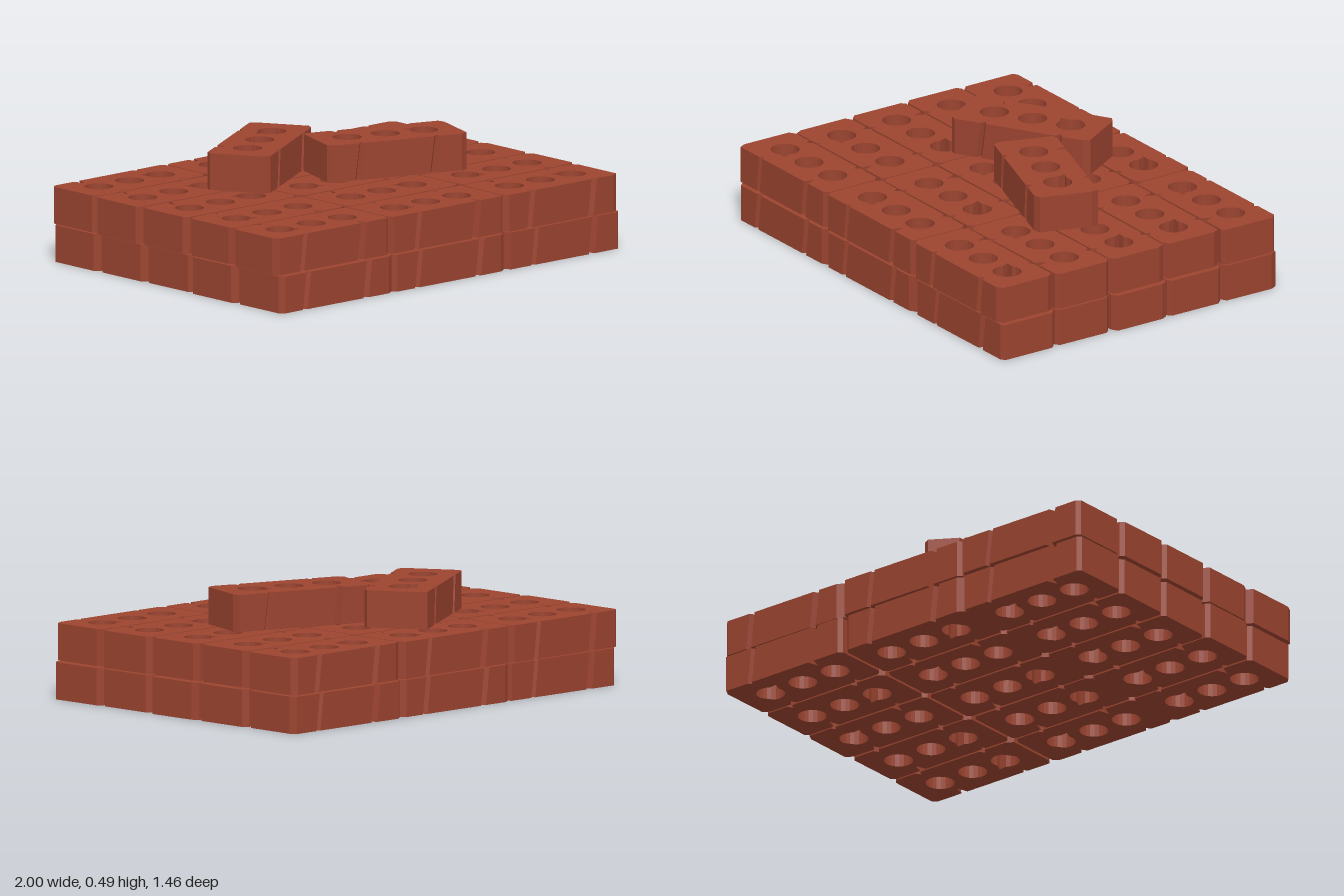
import * as THREE from 'three';

const L = 0.655, W = 0.282, H = 0.162;

// Chipped brick: outline with corner chamfers and V notches, three through holes
function brickGeometry() {
  const a = L / 2, b = W / 2;
  const notch = (x, side, w, d, dir) => [
    [x - dir * w, side * b], [x, side * (b - d)], [x + dir * w, side * b],
  ];
  const outline = [
    [-a, -b + 0.022], [-a + 0.022, -b],
    ...notch(-0.17, -1, 0.014, 0.022, 1),
    ...notch(0.185, -1, 0.016, 0.025, 1),
    [a - 0.03, -b], [a, -b + 0.018],
    [a, b - 0.03], [a - 0.016, b],
    ...notch(0.16, 1, 0.012, 0.018, -1),
    ...notch(-0.18, 1, 0.017, 0.05, -1),
    [-a + 0.018, b], [-a, b - 0.015],
  ];
  const shape = new THREE.Shape(outline.map(([x, y]) => new THREE.Vector2(x, y)));
  [-0.18, 0, 0.18].forEach((cx, k) => {
    const pts = [];
    for (let i = 0; i < 20; i++) {
      const t = (i / 20) * Math.PI * 2;
      // the last hole has a pointed chip in its wall
      const r = k === 2 && i === 8 ? 0.092 : 0.063;
      pts.push(new THREE.Vector2(cx + r * Math.cos(t), r * Math.sin(t)));
    }
    shape.holes.push(new THREE.Path(pts));
  });
  const geo = new THREE.ExtrudeGeometry(shape, { depth: H, bevelEnabled: false });
  geo.rotateX(-Math.PI / 2);

  // slant the notches: shift their lower ends along the brick
  const p = geo.attributes.position;
  for (let i = 0; i < p.count; i++) {
    if (p.getY(i) < H / 2 && Math.abs(p.getZ(i)) > 0.08 && Math.abs(p.getX(i)) < 0.25) {
      p.setX(i, p.getX(i) - 0.02 * Math.sign(p.getZ(i)));
    }
  }
  geo.computeVertexNormals();
  return geo;
}

export function createModel() {
  const model = new THREE.Group();
  model.name = 'brickPile';
  const clay = new THREE.MeshStandardMaterial({ color: 0x9c4430 });
  clay.name = 'red clay';
  const geo = brickGeometry();

  const addBrick = (parent, name, x, y, z, angle) => {
    const mesh = new THREE.Mesh(geo, clay);
    mesh.name = name;
    mesh.position.set(x, y, z);
    mesh.rotation.y = angle;
    parent.add(mesh);
  };

  // Two stacked layers, three columns by five rows; 1 = brick turned end for end
  const turned = [
    ['00000', '10110', '01011'],
    ['00011', '01101', '10010'],
  ];
  const columns = [[-0.652, 0.002, 0.671], [-0.662, 0, 0.662]];
  const rowShift = [[0.004, 0.002, -0.002], [-0.008, -0.004, 0.002]];
  for (let layer = 0; layer < 2; layer++) {
    const group = new THREE.Group();
    group.name = layer ? 'upperLayer' : 'lowerLayer';
    for (let c = 0; c < 3; c++) {
      for (let r = 0; r < 5; r++) {
        const jitter = ((r * 7 + c * 5 + layer * 3) % 5) - 2;
        addBrick(
          group, 'brick',
          columns[layer][c] + jitter * 0.003,
          layer * 0.168,
          (r - 2) * 0.292 + rowShift[layer][c],
          (turned[layer][c][r] === '1' ? Math.PI : 0) + jitter * 0.003,
        );
      }
    }
    model.add(group);
  }

  // Two loose bricks lying askew on top
  const loose = new THREE.Group();
  loose.name = 'looseBricks';
  addBrick(loose, 'looseBrickBack', -0.195, 0.332, -0.27, 0.54);
  addBrick(loose, 'looseBrickFront', 0.29, 0.332, 0, -0.32);
  model.add(loose);
  return model;
}
